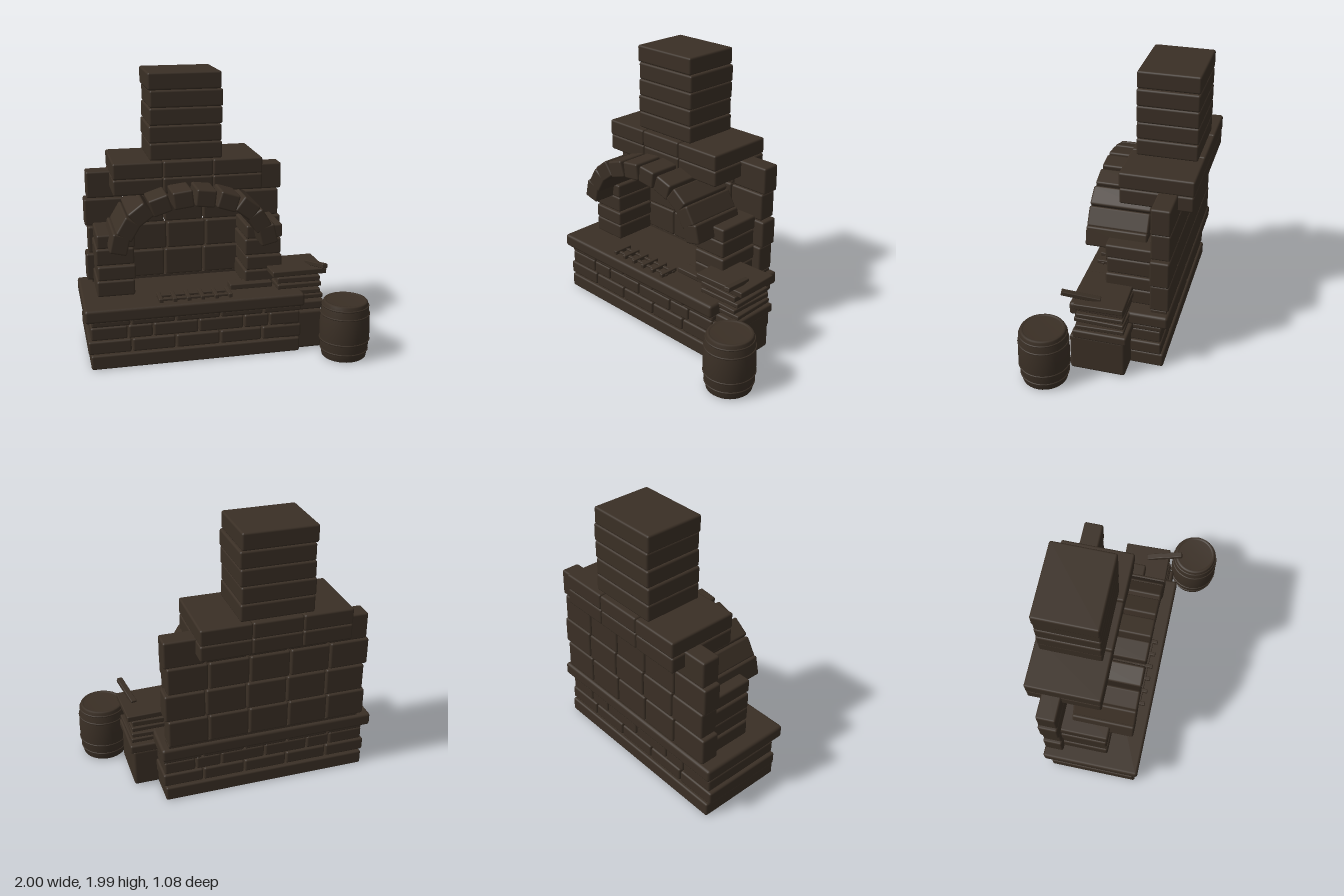
import * as THREE from 'three';
import { RoundedBoxGeometry } from 'three/addons/geometries/RoundedBoxGeometry.js';

const brown = new THREE.MeshStandardMaterial({ color: 0x3a2f25 });
brown.name = 'dark brown';

// Rounded block given by its extents on each axis
function block(name, x0, x1, y0, y1, z0, z1, r = 0.014) {
  const w = x1 - x0, h = y1 - y0, d = z1 - z0;
  const mesh = new THREE.Mesh(new RoundedBoxGeometry(w, h, d, 2, Math.min(r, w / 3, h / 3, d / 3)), brown);
  mesh.position.set((x0 + x1) / 2, (y0 + y1) / 2, (z0 + z1) / 2);
  mesh.name = name;
  return mesh;
}

// Course of bricks between successive joints in x
function course(name, joints, y0, y1, z0, z1, gap = 0.008) {
  const g = new THREE.Group();
  g.name = name;
  for (let i = 0; i < joints.length - 1; i++)
    g.add(block('brick', joints[i] + gap / 2, joints[i + 1] - gap / 2, y0, y1, z0, z1));
  return g;
}

function hearth() {
  const g = new THREE.Group();
  g.name = 'hearth';
  g.add(block('footing', -0.965, 0.525, 0, 0.105, -0.41, 0.235));
  g.add(course('lowerCourse', [-0.985, -0.68, -0.373, -0.057, 0.247, 0.54], 0.11, 0.205, -0.395, 0.225));
  g.add(course('middleCourse', [-0.965, -0.705, -0.53, -0.21, 0.115, 0.3, 0.53], 0.21, 0.305, -0.39, 0.22));
  g.add(course('upperCourse', [-0.96, -0.685, -0.373, -0.055, 0.255, 0.54], 0.308, 0.352, -0.4, 0.225));
  g.add(block('hearthSlab', -1, 0.55, 0.352, 0.447, -0.44, 0.26, 0.02));
  return g;
}

function backWall() {
  const g = new THREE.Group();
  g.name = 'backWall';
  [[-0.94, 0.465, 0.665], [-0.92, 0.672, 0.87], [-0.94, 0.878, 1.075], [-0.92, 1.082, 1.275]].forEach(([x, y0, y1]) => {
    g.add(course('wallCourse', [0, 1, 2, 3, 4, 5].map(i => x + i * 0.289), y0, y1, -0.435, -0.3));
  });
  // thin mortar strip between the wall and the hearth slab
  g.add(block('wallFoot', -0.9, 0.5, 0.44, 0.468, -0.42, -0.31, 0.005));
  return g;
}

function pillars() {
  const g = new THREE.Group();
  g.name = 'pillars';
  const rows = [0.445, 0.565, 0.675, 0.8, 0.905];
  for (const x of [-0.753, 0.307])
    for (let i = 0; i < 4; i++) {
      const s = i % 2 ? 0.004 : -0.004;
      g.add(block('pillarBrick', x - 0.133 + s, x + 0.133 + s, rows[i] + 0.003, rows[i + 1] - 0.003, -0.31, 0.022 + s));
    }
  return g;
}

function arch() {
  const g = new THREE.Group();
  g.name = 'arch';
  // offset from the centre line, height, tilt in degrees, length along the arch
  const stones = [[0.078, 1.165, 7, 0.14], [0.235, 1.132, 18, 0.14], [0.37, 1.075, 37, 0.14],
    [0.455, 0.98, 59, 0.14], [0.515, 0.877, 77, 0.14]];
  for (const side of [-1, 1])
    for (const [dx, y, tilt, len] of stones) {
      const s = block('archStone', -len / 2, len / 2, -0.061, 0.061, -0.24, 0.19);
      s.position.set(-0.223 + side * dx, y, -0.025);
      s.rotation.z = -side * THREE.MathUtils.degToRad(tilt);
      g.add(s);
    }
  return g;
}

function chimney() {
  const g = new THREE.Group();
  g.name = 'chimney';
  const joints = [-0.753, -0.402, -0.05, 0.306];
  g.add(course('lowerMantel', joints, 1.155, 1.268, -0.54, -0.035, 0.002));
  g.add(course('upperMantel', joints, 1.27, 1.385, -0.543, -0.03, 0.002));
  [0, -0.004, 0.003, 0.008, -0.004].forEach((s, i) => {
    const y = 1.383 + i * 0.1215;
    g.add(block('chimneyStone', -0.488 + s, 0.025 + s, y, y + 0.12, -0.505, -0.078));
  });
  return g;
}

function grate() {
  const g = new THREE.Group();
  g.name = 'grate';
  for (let i = 0; i < 6; i++) {
    const x = -0.47 + i * 0.098;
    g.add(block('grateBar', x - 0.014, x + 0.014, 0.44, 0.475, 0.06, 0.21, 0.006));
  }
  for (const z of [0.095, 0.165])
    g.add(block('grateRail', -0.485, 0.04, 0.445, 0.463, z - 0.012, z + 0.012, 0.005));
  g.add(block('hearthBoard', 0.05, 0.36, 0.445, 0.485, -0.03, 0.07, 0.008));
  return g;
}

function crateAndPlanks() {
  const g = new THREE.Group();
  g.name = 'crateAndPlanks';
  g.add(block('crate', 0.4, 0.7, 0.008, 0.295, -0.18, 0.212, 0.02));
  g.add(block('crateLid', 0.39, 0.72, 0.293, 0.357, -0.195, 0.185));
  // stack of planks: x range, y range, half depth
  [[0.4, 0.71, 0.37, 0.402, 0.17], [0.38, 0.695, 0.412, 0.445, 0.175], [0.37, 0.7, 0.457, 0.49, 0.165],
    [0.375, 0.69, 0.502, 0.542, 0.17], [0.33, 0.732, 0.552, 0.593, 0.17]].forEach(([x0, x1, y0, y1, d], i) => {
    const p = block('plank', x0, x1, y0, y1, -d, d, 0.008);
    p.rotation.y = [0.03, -0.03, 0.02, -0.02, 0.03][i];
    g.add(p);
  });
  // loose stick resting on the stack
  const stick = block('stick', -0.021, 0.021, -0.016, 0.016, -0.135, 0.135, 0.006);
  stick.position.set(0.665, 0.618, 0.13);
  stick.lookAt(0.69, 0.644, 0.26);
  g.add(stick);
  return g;
}

function barrel() {
  const g = new THREE.Group();
  g.name = 'barrel';
  const r = y => 0.177 - 0.022 * ((y - 0.21) / 0.21) ** 2;
  const pts = [[0, 0.005], [0.14, 0.005], [0.15, 0.002]];
  for (let i = 0; i <= 12; i++) {
    const y = 0.008 + i * 0.0335;
    pts.push([r(y), y]);
  }
  pts.push([r(0.41) - 0.006, 0.418], [0.135, 0.418], [0.132, 0.41], [0, 0.41]);
  g.add(new THREE.Mesh(new THREE.LatheGeometry(pts.map(p => new THREE.Vector2(...p)), 32), brown));
  g.children[0].name = 'barrelBody';
  // raised hoops
  for (const y of [0.06, 0.135, 0.325, 0.385]) {
    const hoop = new THREE.Mesh(new THREE.TorusGeometry(r(y), 0.006, 6, 32), brown);
    hoop.rotation.x = Math.PI / 2;
    hoop.position.y = y;
    hoop.name = 'hoop';
    g.add(hoop);
  }
  g.position.set(0.816, 0, 0.356);
  return g;
}

export function createModel() {
  const model = new THREE.Group();
  model.name = 'outdoorFireplace';
  model.add(hearth(), backWall(), pillars(), arch(), chimney(), grate(), crateAndPlanks(), barrel());
  return model;
}
